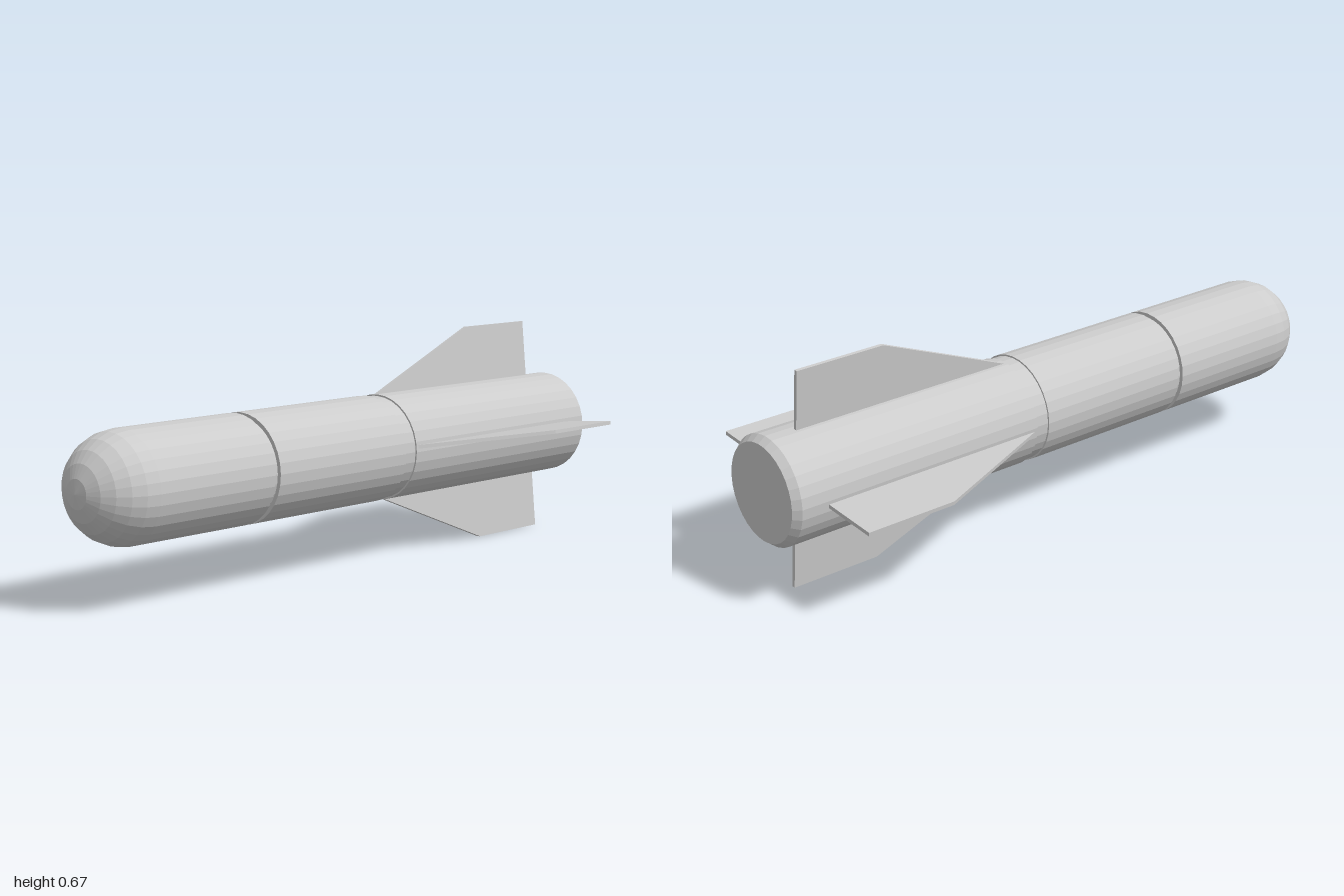
import * as THREE from 'three';

const R = 0.16;          // body radius
const AXIS_Y = 0.337;    // height of the body axis
const SIDES = 32;

export function createModel() {
  const model = new THREE.Group();
  model.name = 'finnedRocket';
  const body = new THREE.Group();
  body.name = 'body';
  body.position.y = AXIS_Y;
  model.add(body);
  const material = new THREE.MeshStandardMaterial({ color: 0xcccccc, flatShading: true });

  // Turned part along z; profile holds [radius, z] from back to front
  function addTurned(name, profile) {
    const points = profile.map(([r, z]) => new THREE.Vector2(r, z));
    const geometry = new THREE.LatheGeometry(points, SIDES).rotateX(Math.PI / 2);
    const mesh = new THREE.Mesh(geometry, material);
    mesh.name = name;
    body.add(mesh);
  }

  // Nose section with a hemispherical tip
  const nose = [[0, 0.42], [R, 0.42]];
  for (let i = 0; i <= 6; i++) {
    const a = (i / 6) * Math.PI / 2;
    nose.push([i === 6 ? 0 : R * Math.cos(a), 0.84 + R * Math.sin(a)]);
  }
  addTurned('noseSection', nose);

  // Middle section and the recessed joints on either side
  addTurned('frontJoint', [[0.148, 0.395], [0.148, 0.425]]);
  addTurned('middleSection', [[0, -0.12], [R, -0.12], [R, 0.402], [0, 0.402]]);
  addTurned('rearJoint', [[0.155, -0.17], [0.155, -0.115]]);

  // Tail section with a chamfered back end
  addTurned('tailSection', [[0, -1], [0.143, -1], [R, -0.978], [R, -0.165], [0, -0.165]]);

  // Four swept fins, turned slightly about the axis
  const thickness = 0.011;
  const outline = [[0.145, -0.14], [R, -0.175], [0.335, -0.61], [0.335, -0.893], [0.145, -0.893]];
  const finShape = new THREE.Shape(outline.map(([r, z]) => new THREE.Vector2(r, z)));
  const finGeometry = new THREE.ExtrudeGeometry(finShape, { depth: thickness, bevelEnabled: false })
    .translate(0, 0, -thickness / 2)
    .rotateX(Math.PI / 2);
  ['leftFin', 'topFin', 'rightFin', 'bottomFin'].forEach((name, i) => {
    const fin = new THREE.Mesh(finGeometry, material);
    fin.name = name;
    fin.rotation.z = i * Math.PI / 2 + 0.098;
    body.add(fin);
  });

  return model;
}
